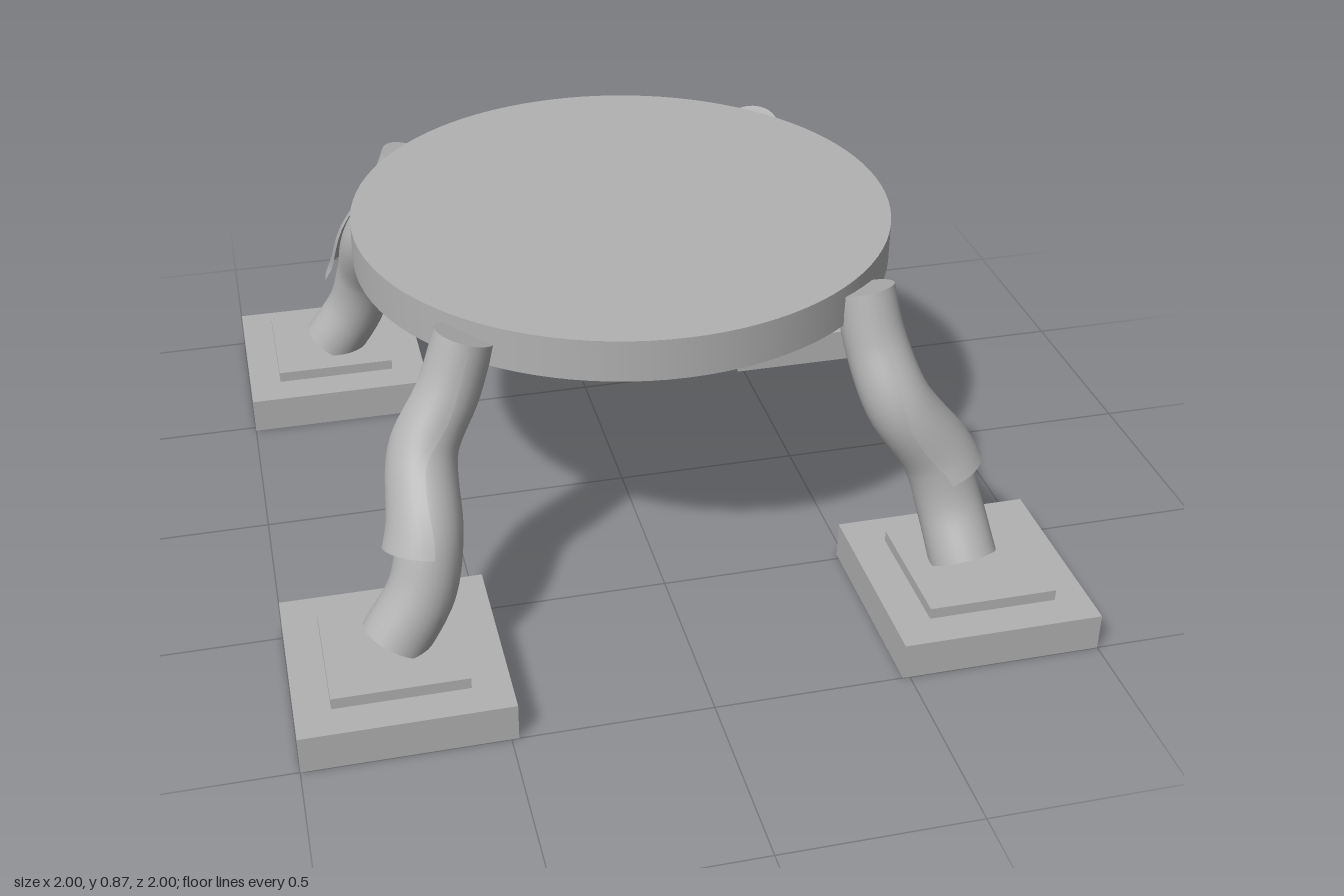
import * as THREE from 'three';

// Leg centreline, top to bottom: x, y, z
const LEG_PATH = [
  [0.50, 0.83, 0.50], [0.52, 0.70, 0.545], [0.56, 0.56, 0.615],
  [0.67, 0.39, 0.63], [0.71, 0.26, 0.66], [0.73, 0.137, 0.735],
];

// Sweeps a circle or arc along a curve; angle 0 faces the outward direction
function sweep(curve, outward, radius, { from = 0, to = 1, a0 = 0, a1 = Math.PI * 2, rows = 36, cols = 28, closed = true }) {
  const pos = [], index = [];
  const n = closed ? cols : cols + 1;
  const ring = (t, r) => {
    const c = curve.getPoint(t), tan = curve.getTangent(t);
    const u = outward.clone().addScaledVector(tan, -outward.dot(tan)).normalize();
    const v = tan.clone().cross(u);
    for (let j = 0; j < n; j++) {
      const a = a0 + (a1 - a0) * j / cols;
      const p = c.clone().addScaledVector(u, r * Math.cos(a)).addScaledVector(v, r * Math.sin(a));
      pos.push(p.x, p.y, p.z);
    }
  };
  for (let i = 0; i <= rows; i++) {
    const s = i / rows;
    ring(from + (to - from) * s, radius(s));
  }
  for (let i = 0; i < rows; i++) {
    for (let j = 0; j < cols; j++) {
      const a = i * n + j, b = i * n + (j + 1) % n;
      index.push(a, b, a + n, b, b + n, a + n);
    }
  }
  // Flat end caps with their own vertices
  if (closed) {
    for (const [t, s, flip] of [[from, 0, true], [to, 1, false]]) {
      const start = pos.length / 3;
      ring(t, radius(s));
      const centre = pos.length / 3;
      pos.push(...curve.getPoint(t).toArray());
      for (let j = 0; j < n; j++) {
        const a = start + j, b = start + (j + 1) % n;
        index.push(centre, flip ? b : a, flip ? a : b);
      }
    }
  }
  const geo = new THREE.BufferGeometry();
  geo.setAttribute('position', new THREE.Float32BufferAttribute(pos, 3));
  geo.setIndex(index);
  geo.computeVertexNormals();
  return geo;
}

export function createModel() {
  const model = new THREE.Group();
  model.name = 'table';
  const grey = new THREE.MeshStandardMaterial({ color: 0xb2b2b2, side: THREE.DoubleSide });
  grey.name = 'grey';

  const add = (parent, name, geo, x = 0, y = 0, z = 0) => {
    const mesh = new THREE.Mesh(geo, grey);
    mesh.name = name;
    mesh.position.set(x, y, z);
    parent.add(mesh);
  };

  // Round top and the small hub beneath it
  add(model, 'tableTop', new THREE.CylinderGeometry(0.708, 0.708, 0.11, 96), 0, 0.81, -0.017);
  add(model, 'hub', new THREE.CylinderGeometry(0.163, 0.163, 0.06, 48), 0, 0.73, 0);

  // Corner placement of the wavy leg: right and left sides bend in opposite order
  const corners = {
    frontLeft: (x, z) => [x, z],
    backLeft: (x, z) => [x, -z],
    frontRight: (x, z) => [-z, x],
    backRight: (x, z) => [-z, -x],
  };

  for (const [corner, place] of Object.entries(corners)) {
    const group = new THREE.Group();
    group.name = corner + 'Leg';
    const points = LEG_PATH.map(([x, y, z]) => {
      const [px, pz] = place(x, z);
      return new THREE.Vector3(px, y, pz);
    });
    const curve = new THREE.CatmullRomCurve3(points);
    const [ox, oz] = place(Math.SQRT1_2, Math.SQRT1_2);
    const outward = new THREE.Vector3(ox, 0, oz);

    // Leg, slightly thicker towards the foot
    add(group, 'leg', sweep(curve, outward, s => 0.075 + 0.012 * s, {}));
    // Thin outer strip that lifts away from the leg at its lower end
    add(group, 'outerStrip', sweep(curve, outward, s => 0.075 + 0.012 * s + 0.026 * s * s, {
      from: 0.03, to: 0.65, a0: -0.8, a1: 0.8, rows: 28, cols: 10, closed: false,
    }));

    // Stepped square foot
    const [bx, bz] = place(0.741, 0.741);
    add(group, 'footBlock', new THREE.BoxGeometry(0.518, 0.1, 0.518), bx, 0.05, bz);
    const [px, pz] = place(0.745, 0.745);
    add(group, 'footPlate', new THREE.BoxGeometry(0.334, 0.03, 0.334), px, 0.115, pz);
    model.add(group);
  }
  return model;
}
